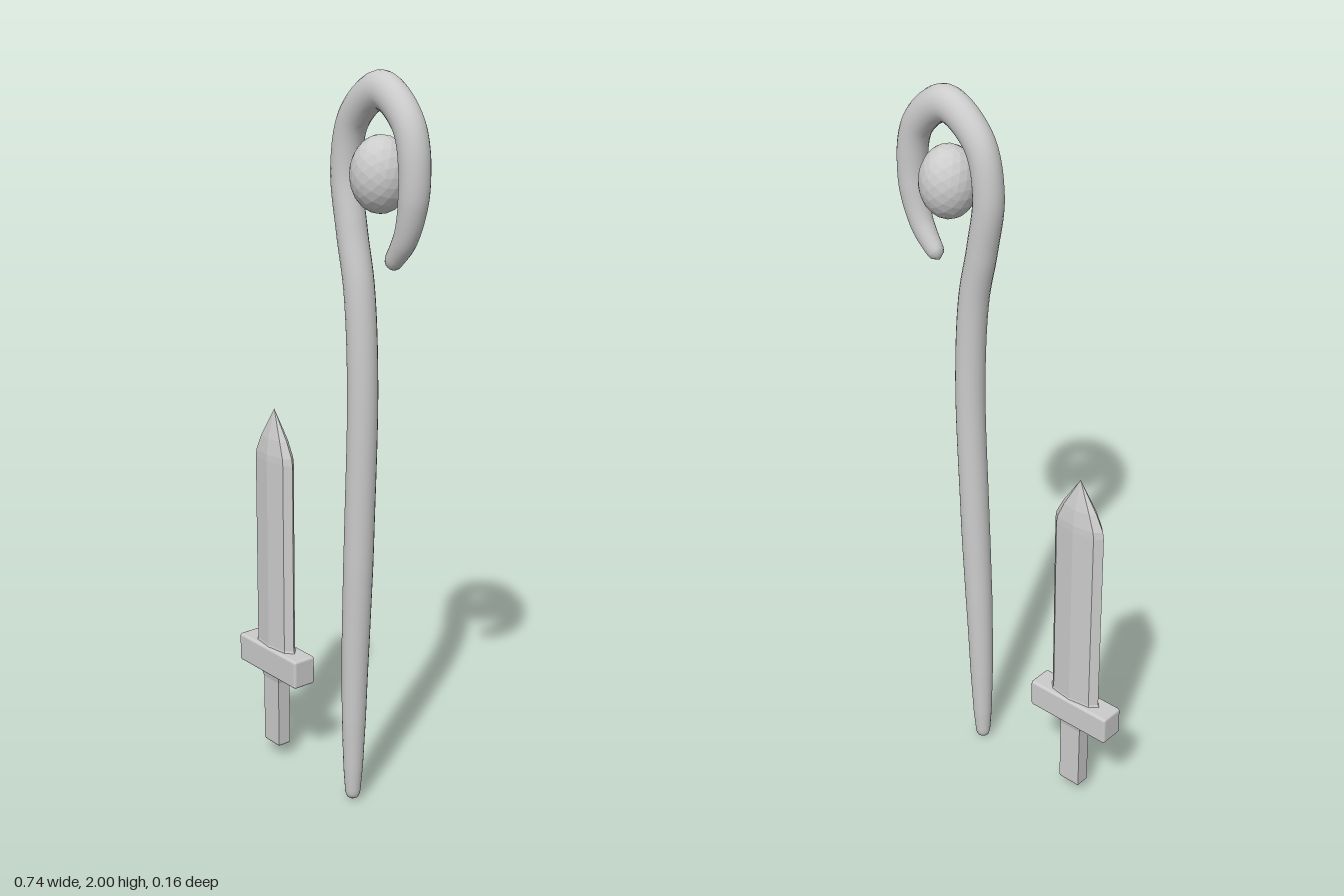
import * as THREE from 'three';
import { mergeVertices } from 'three/addons/utils/BufferGeometryUtils.js';
import { RoundedBoxGeometry } from 'three/addons/geometries/RoundedBoxGeometry.js';

const smooth = new THREE.MeshStandardMaterial({ color: 0xcccccc });
const faceted = new THREE.MeshStandardMaterial({ color: 0xcccccc, flatShading: true });

function part(name, geometry, material, parent) {
  const mesh = new THREE.Mesh(geometry, material);
  mesh.name = name;
  parent.add(mesh);
  return mesh;
}

// Stacks one horizontal outline [x, z] at several heights: levels are [y, scaleX, scaleZ]
function loft(outline, levels) {
  const pos = [], index = [], n = outline.length;
  for (const [y, sx, sz] of levels) for (const [x, z] of outline) pos.push(x * sx, y, z * sz);
  for (let k = 0; k < levels.length - 1; k++) {
    for (let i = 0; i < n; i++) {
      const a = k * n + i, b = k * n + (i + 1) % n;
      index.push(a, a + n, b, b, a + n, b + n);
    }
  }
  const top = (levels.length - 1) * n;
  for (let i = 1; i < n - 1; i++) {
    index.push(0, i, i + 1, top, top + i + 1, top + i);
  }
  const g = new THREE.BufferGeometry();
  g.setAttribute('position', new THREE.Float32BufferAttribute(pos, 3));
  g.setIndex(index);
  // Make the faces point outwards whichever way the outline runs
  let area = 0;
  outline.forEach(([x, z], i) => {
    const [x2, z2] = outline[(i + 1) % n];
    area += x * z2 - x2 * z;
  });
  if (area < 0) {
    for (let i = 0; i < index.length; i += 3) [index[i], index[i + 1]] = [index[i + 1], index[i]];
    g.setIndex(index);
  }
  g.computeVertexNormals();
  return g;
}

// Piecewise linear lookup in [position, value] pairs
function lookup(table, t) {
  for (let i = 1; i < table.length; i++) {
    const [a, va] = table[i - 1], [b, vb] = table[i];
    if (t <= b) return THREE.MathUtils.lerp(va, vb, (t - a) / (b - a));
  }
  return table[table.length - 1][1];
}

// Tapering rod that curls over at the top
function staffGeometry() {
  const path = new THREE.CatmullRomCurve3([
    [0.108, 0], [0.115, 0.4], [0.13, 0.8], [0.14, 1.2], [0.124, 1.45], [0.093, 1.6],
    [0.071, 1.75], [0.102, 1.88], [0.205, 1.952], [0.302, 1.88], [0.328, 1.75],
    [0.302, 1.615], [0.24, 1.525],
  ].map(([x, y]) => new THREE.Vector3(x, y, 0)));
  const segments = 220, sides = 20;
  const length = path.getLength();
  const fromFoot = [[0, 0.019], [0.1, 0.027], [0.25, 0.033], [0.5, 0.038], [0.7, 0.04]];
  const fromTip = [[0, 0.02], [0.08, 0.029], [0.2, 0.038], [0.3, 0.04]];
  const g = new THREE.TubeGeometry(path, segments, 1, sides, false);
  const p = g.attributes.position, v = new THREE.Vector3();
  for (let i = 0; i <= segments; i++) {
    const centre = path.getPointAt(i / segments);
    const s = length * i / segments, e = length - s;
    // Round off both ends
    const d = Math.min(1, Math.min(s, e) / 0.025);
    const r = Math.min(lookup(fromFoot, s), lookup(fromTip, e)) * Math.sqrt(1 - (1 - d) ** 2);
    for (let j = 0; j <= sides; j++) {
      const k = i * (sides + 1) + j;
      v.fromBufferAttribute(p, k).sub(centre).multiplyScalar(r);
      v.y *= 1.2;
      v.add(centre);
      p.setXYZ(k, v.x, v.y, v.z);
    }
  }
  g.deleteAttribute('normal');
  g.deleteAttribute('uv');
  const merged = mergeVertices(g, 1e-5);
  merged.computeVertexNormals();
  return merged;
}

export function createModel() {
  const model = new THREE.Group();
  model.name = 'staffAndSword';

  // Staff with an orb held inside the curl
  const staff = new THREE.Group();
  staff.name = 'staff';
  model.add(staff);
  part('staffRod', staffGeometry(), smooth, staff);
  const orb = part('orb', new THREE.IcosahedronGeometry(1, 3), faceted, staff);
  orb.scale.set(0.076, 0.097, 0.078);
  orb.position.set(0.203, 1.75, 0);

  // Short sword standing point up
  const sword = new THREE.Group();
  sword.name = 'sword';
  sword.position.x = -0.238;
  model.add(sword);

  const bladeOutline = [
    [0.081, 0], [0.062, 0.019], [0, 0.028], [-0.062, 0.019],
    [-0.081, 0], [-0.062, -0.019], [0, -0.028], [0.062, -0.019],
  ];
  part('blade', loft(bladeOutline, [
    [0.32, 1.06, 1.06], [0.345, 1.05, 1.05], [0.352, 1, 1], [0.905, 1, 1],
    [0.925, 0.96, 0.97], [0.97, 0.68, 0.75], [1.053, 0.001, 0.001],
  ]), faceted, sword);

  const guard = part('crossguard', new RoundedBoxGeometry(0.264, 0.084, 0.072, 2, 0.008), smooth, sword);
  guard.position.y = 0.304;

  const gripOutline = [[0.034, 0.02], [-0.034, 0.02], [-0.034, -0.02], [0.034, -0.02]];
  part('grip', loft(gripOutline, [
    [0.04, 0.94, 0.9], [0.045, 1, 1], [0.24, 1, 1], [0.255, 1.1, 1.15], [0.265, 1.3, 1.4],
  ]), faceted, sword);

  return model;
}
